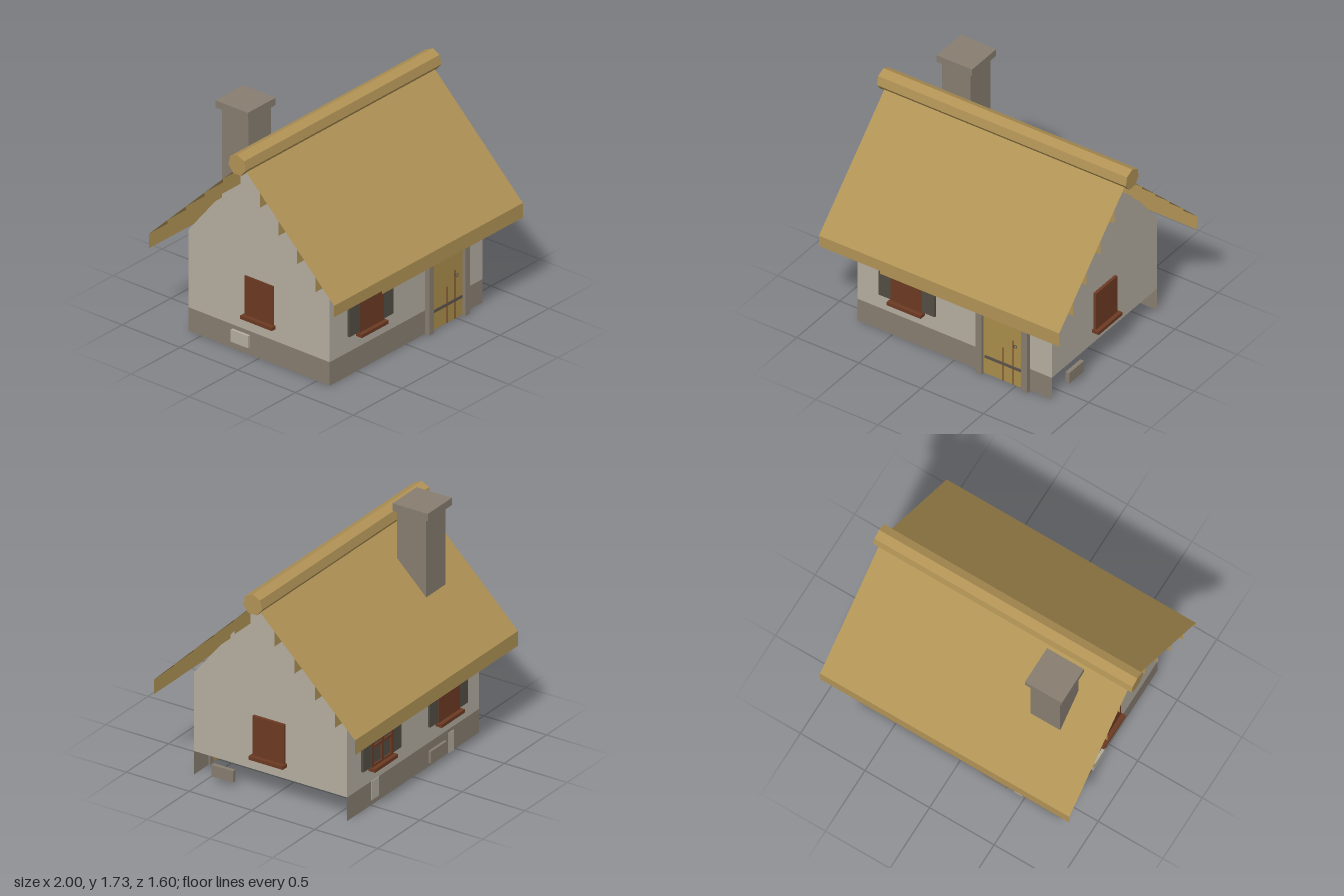
import * as THREE from 'three';

const mat = (name, color, side = THREE.DoubleSide) => {
  const m = new THREE.MeshStandardMaterial({ color, side, flatShading: true });
  m.name = name;
  return m;
};

export function createModel() {
  const M = {
    plaster: mat('plaster', 0xb3ac9f),
    stone: mat('stone', 0x877d70),
    thatch: mat('thatch', 0xb09255),
    door: mat('door wood', 0xa98c4b),
    wood: mat('red brown wood', 0x6c3a23),
    shutter: mat('dark shutter', 0x524d43),
    iron: mat('iron', 0x5a5248),
  };
  const house = new THREE.Group();
  house.name = 'cottage';

  const add = (parent, name, geo, m) => {
    const mesh = new THREE.Mesh(geo, m);
    mesh.name = name;
    parent.add(mesh);
    return mesh;
  };
  // Box given by its minimum and maximum on each axis
  const box = (parent, name, m, x0, x1, y0, y1, z0, z1) => {
    const g = new THREE.BoxGeometry(x1 - x0, y1 - y0, z1 - z0);
    g.translate((x0 + x1) / 2, (y0 + y1) / 2, (z0 + z1) / 2);
    return add(parent, name, g, m);
  };
  // Open sheet through four corners
  const quad = (parent, name, m, a, b, c, d) => {
    const g = new THREE.BufferGeometry();
    g.setAttribute('position', new THREE.Float32BufferAttribute([...a, ...b, ...c, ...d], 3));
    g.setIndex([0, 1, 2, 0, 2, 3]);
    g.computeVertexNormals();
    return add(parent, name, g, m);
  };

  const W = 0.78, D = 0.61, BASE = 0.18, EAVE = 0.76;

  // Long walls, with the stone base below
  for (const s of [1, -1]) {
    const side = s > 0 ? 'front' : 'back';
    const strip = (name, m, y0, y1) =>
      quad(house, name, m, [-W * s, y0, D * s], [W * s, y0, D * s], [W * s, y1, D * s], [-W * s, y1, D * s]);
    strip(side + 'Wall', M.plaster, BASE, EAVE);
    strip(side + 'Base', M.stone, 0.005, BASE);
  }

  // Gable walls; only the right one has a stone base
  const gable = new THREE.Shape();
  [[-D, BASE], [D, BASE], [D, EAVE], [0.04, 1.47], [-0.04, 1.47], [-D, EAVE]]
    .forEach(([x, y], i) => (i ? gable.lineTo(x, y) : gable.moveTo(x, y)));
  for (const s of [1, -1]) {
    const wall = add(house, s > 0 ? 'leftGable' : 'rightGable', new THREE.ShapeGeometry(gable), M.plaster);
    wall.rotation.y = s * Math.PI / 2;
    wall.position.x = s * W;
  }
  quad(house, 'rightBase', M.stone, [-W, 0.005, -D], [-W, 0.005, D], [-W, BASE, D], [-W, BASE, -D]);

  // Loose stones and plaster patches in the base
  box(house, 'leftStone', M.stone, 0.78, 0.81, 0.05, 0.135, 0.28, 0.45);
  box(house, 'rightStone', M.plaster, -0.8, -0.77, 0.06, 0.15, -0.23, -0.08);
  box(house, 'backStone', M.stone, -0.37, -0.18, 0.035, 0.12, -0.63, -0.61);
  box(house, 'basePatch', M.plaster, 0.41, 0.5, 0.04, BASE, -0.614, -0.608);
  box(house, 'basePatch', M.plaster, -0.48, -0.42, 0.005, 0.155, -0.614, -0.608);

  // Roof: a sloping sheet per side with five hanging thatch edges beneath
  const slopeY = z => 1.515 - 0.975 * z;
  for (const s of [1, -1]) {
    const x0 = -0.96, x1 = 0.97;
    quad(house, 'roofSlope', M.thatch,
      [x0 * s, slopeY(0.8), 0.8 * s], [x1 * s, slopeY(0.8), 0.8 * s],
      [x1 * s, slopeY(0.03), 0.03 * s], [x0 * s, slopeY(0.03), 0.03 * s])
      .scale.x = s;
    for (let i = 1; i <= 5; i++) {
      const z = 0.16 * i, y = slopeY(z);
      const edge = (a, b, drop) =>
        quad(house, 'thatchEdge', M.thatch, [a, y - drop, z * s], [b, y - drop, z * s], [b, y, z * s], [a, y, z * s]);
      if (i === 5 && s > 0) {
        edge(x0, -0.47, 0.085);
        edge(-0.47, x1, 0.108);
      } else edge(x0, x1, 0.108);
    }
  }

  // Ridge log
  const log = new THREE.CylinderGeometry(0.077, 0.077, 2, 7, 1, false, Math.PI / 2);
  log.rotateZ(Math.PI / 2);
  add(house, 'ridgeLog', log, M.thatch).position.set(0, 1.528, -0.005);

  // Chimney
  box(house, 'chimneyStack', M.stone, -0.66, -0.43, 0.9, 1.69, -0.425, -0.195);
  box(house, 'chimneyCap', M.stone, -0.69, -0.405, 1.683, 1.737, -0.455, -0.175).rotation.z = -0.0;

  // Windows, built facing +z and turned onto their wall
  const addWindow = (name, x, z, turn, depth, shutters, panes) => {
    const w = new THREE.Group();
    w.name = name;
    w.position.set(x, 0, z);
    w.rotation.y = turn;
    house.add(w);
    if (panes) {
      box(w, 'panes', M.shutter, -0.125, 0.125, 0.29, 0.58, -0.005, 0.01);
      for (const v of [-0.115, 0, 0.115]) box(w, 'windowBar', M.wood, v - 0.011, v + 0.011, 0.29, 0.58, 0, depth);
      for (const v of [0.3, 0.44, 0.57]) box(w, 'windowBar', M.wood, -0.125, 0.125, v - 0.01, v + 0.01, 0, depth);
    } else box(w, 'windowPanel', M.wood, -0.125, 0.125, 0.28, 0.585, -0.005, depth);
    box(w, 'windowSill', M.wood, -0.137, 0.137, 0.27, 0.295, 0, depth + 0.03);
    if (shutters) {
      for (const s of [1, -1]) {
        const c = s * 0.175;
        box(w, 'shutter', M.shutter, c - 0.05, c + 0.05, 0.3, 0.568, 0, 0.018);
      }
    }
  };
  addWindow('frontWindow', -0.375, D, 0, 0.022, true, false);
  addWindow('backLeftWindow', 0.39, -D, Math.PI, 0.022, true, true);
  addWindow('backRightWindow', -0.4, -D, Math.PI, 0.022, true, false);
  addWindow('leftWindow', W, 0.005, Math.PI / 2, 0.022, false, false);
  addWindow('rightWindow', -W, 0.005, -Math.PI / 2, 0.01, false, false);

  // Door with its stone frame and fittings
  const door = new THREE.Group();
  door.name = 'door';
  house.add(door);
  box(door, 'doorPanel', M.door, 0.235, 0.565, 0.01, 0.71, 0.6, 0.625);
  for (const x of [0.195, 0.56]) box(door, 'doorPost', M.stone, x, x + 0.046, 0.005, 0.71, 0.6, 0.65);
  box(door, 'doorLintel', M.stone, 0.195, 0.606, 0.7, 0.77, 0.6, 0.65);
  for (const y of [0.15, 0.51]) box(door, 'doorHinge', M.iron, 0.255, 0.55, y - 0.01, y + 0.01, 0.62, 0.632);
  box(door, 'plankGap', M.wood, 0.396, 0.402, 0.01, 0.28, 0.62, 0.628);
  box(door, 'plankGap', M.wood, 0.476, 0.483, 0.01, 0.37, 0.62, 0.628);
  add(door, 'doorRing', new THREE.TorusGeometry(0.012, 0.003, 6, 12), M.iron).position.set(0.5, 0.33, 0.63);

  return house;
}
